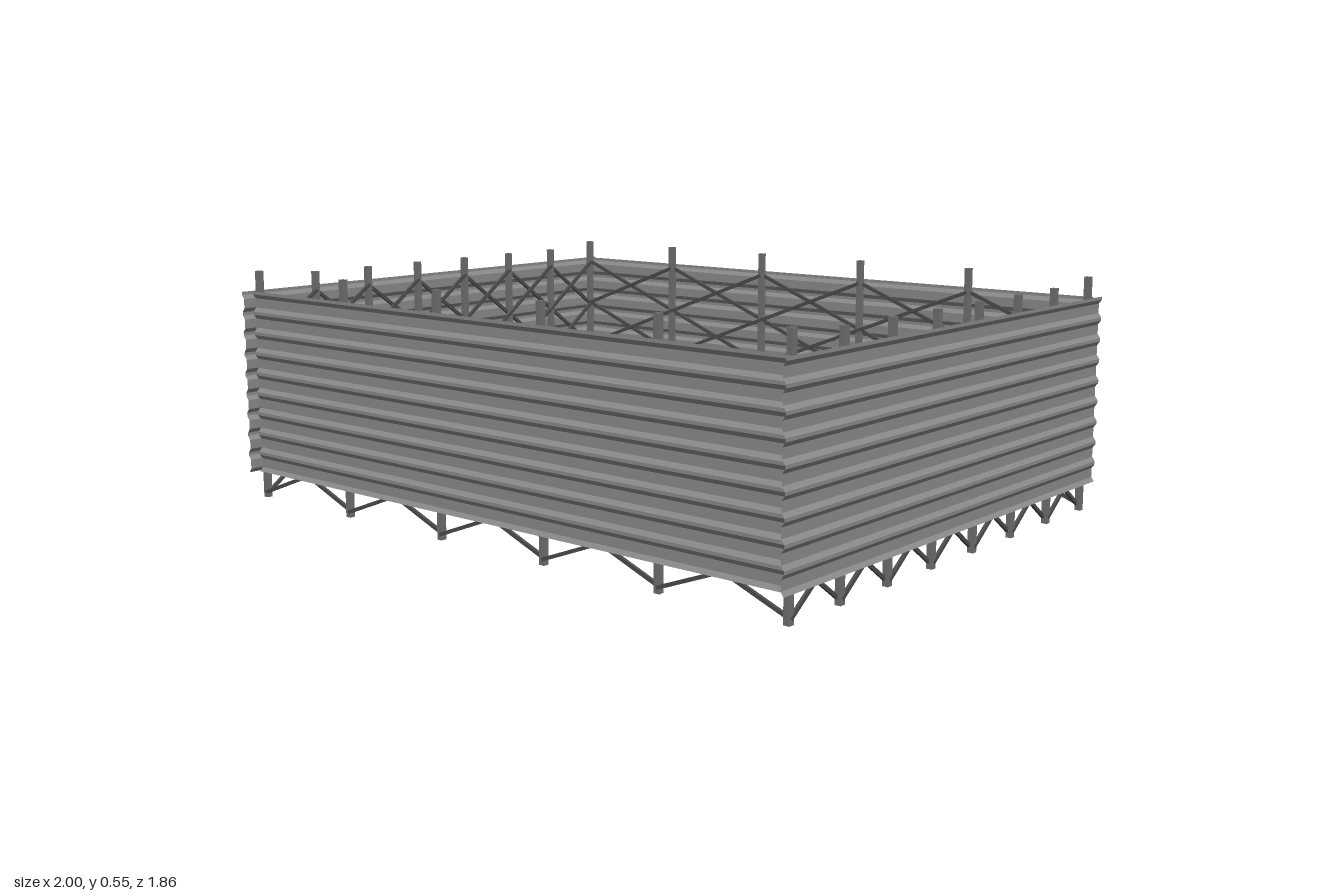
import * as THREE from 'three';

const paint = (color) => new THREE.MeshStandardMaterial({ color, flatShading: true, side: THREE.DoubleSide });
const panelMaterial = paint(0x8c8c8c);
const postMaterial = paint(0x707070);
const braceMaterial = paint(0x4c4c4c);

function box(name, material, [w, h, d], [x, y, z], tilt = 0) {
  const mesh = new THREE.Mesh(new THREE.BoxGeometry(w, h, d), material);
  mesh.name = name;
  mesh.position.set(x, y, z);
  mesh.rotation.z = tilt;
  return mesh;
}

// Corrugated sheet: a plane whose rows are moved in and out to make trapezoid ribs
function corrugatedPanel(length, y0, y1, ribs, depth) {
  const geo = new THREE.PlaneGeometry(length, y1 - y0, 1, ribs * 4);
  const pos = geo.attributes.position;
  const heights = [0, 0.15, 0.35, 0.8];
  const offsets = [depth, depth, 0, 0];
  const pitch = (y1 - y0) / ribs;
  for (let i = 0; i < pos.count; i++) {
    const row = Math.floor(i / 2);
    const rib = Math.floor(row / 4);
    pos.setY(i, y1 - (rib + heights[row % 4]) * pitch);
    pos.setZ(i, offsets[row % 4]);
  }
  geo.computeVertexNormals();
  const mesh = new THREE.Mesh(geo, panelMaterial);
  mesh.name = 'corrugatedPanel';
  return mesh;
}

// One wall along local x, with its outer side facing +z
function wall({ name, span, bays, postTop, panelLength, panelOffset, cornerPosts }) {
  const group = new THREE.Group();
  group.name = name;
  const bay = span / bays;
  const panel = corrugatedPanel(panelLength, 0.064, 0.502, 9, 0.007);
  panel.position.z = panelOffset;
  group.add(panel);

  // Upright posts
  for (let i = 0; i <= bays; i++) {
    if (!cornerPosts && (i === 0 || i === bays)) continue;
    group.add(box('post', postMaterial, [0.014, postTop, 0.014], [-span / 2 + i * bay, postTop / 2, 0]));
  }

  // Stacked cross braces in every bay, ending below the panel's top edge
  const levels = 4, bottom = 0.012, rise = 0.12;
  const angle = Math.atan2(rise, bay), length = Math.hypot(rise, bay);
  for (let i = 0; i < bays; i++) {
    for (let j = 0; j < levels; j++) {
      const x = -span / 2 + (i + 0.5) * bay;
      const y = bottom + (j + 0.5) * rise;
      for (const s of [-1, 1]) {
        group.add(box('crossBrace', braceMaterial, [length, 0.008, 0.007], [x, y, s * 0.004], s * angle));
      }
    }
  }
  return group;
}

export function createModel() {
  const model = new THREE.Group();
  model.name = 'fencedEnclosure';
  const enclosure = new THREE.Group();
  enclosure.name = 'enclosure';
  enclosure.rotation.y = -Math.PI / 6;
  model.add(enclosure);

  const halfLong = 0.782, halfShort = 0.576;

  // Two long and two short walls, each pair mirrored by a half turn
  for (const turn of [0, Math.PI]) {
    const longWall = wall({
      name: 'longWall', span: halfLong * 2, bays: 5, postTop: 0.55,
      panelLength: 1.578, panelOffset: 0.008, cornerPosts: true
    });
    longWall.rotation.y = turn;
    longWall.position.z = halfShort * Math.cos(turn);
    enclosure.add(longWall);

    const shortWall = wall({
      name: 'shortWall', span: halfShort * 2, bays: 7, postTop: 0.537,
      panelLength: 1.23, panelOffset: 0.01, cornerPosts: false
    });
    shortWall.rotation.y = turn + Math.PI / 2;
    shortWall.position.x = halfLong * Math.cos(turn);
    enclosure.add(shortWall);
  }
  return model;
}
